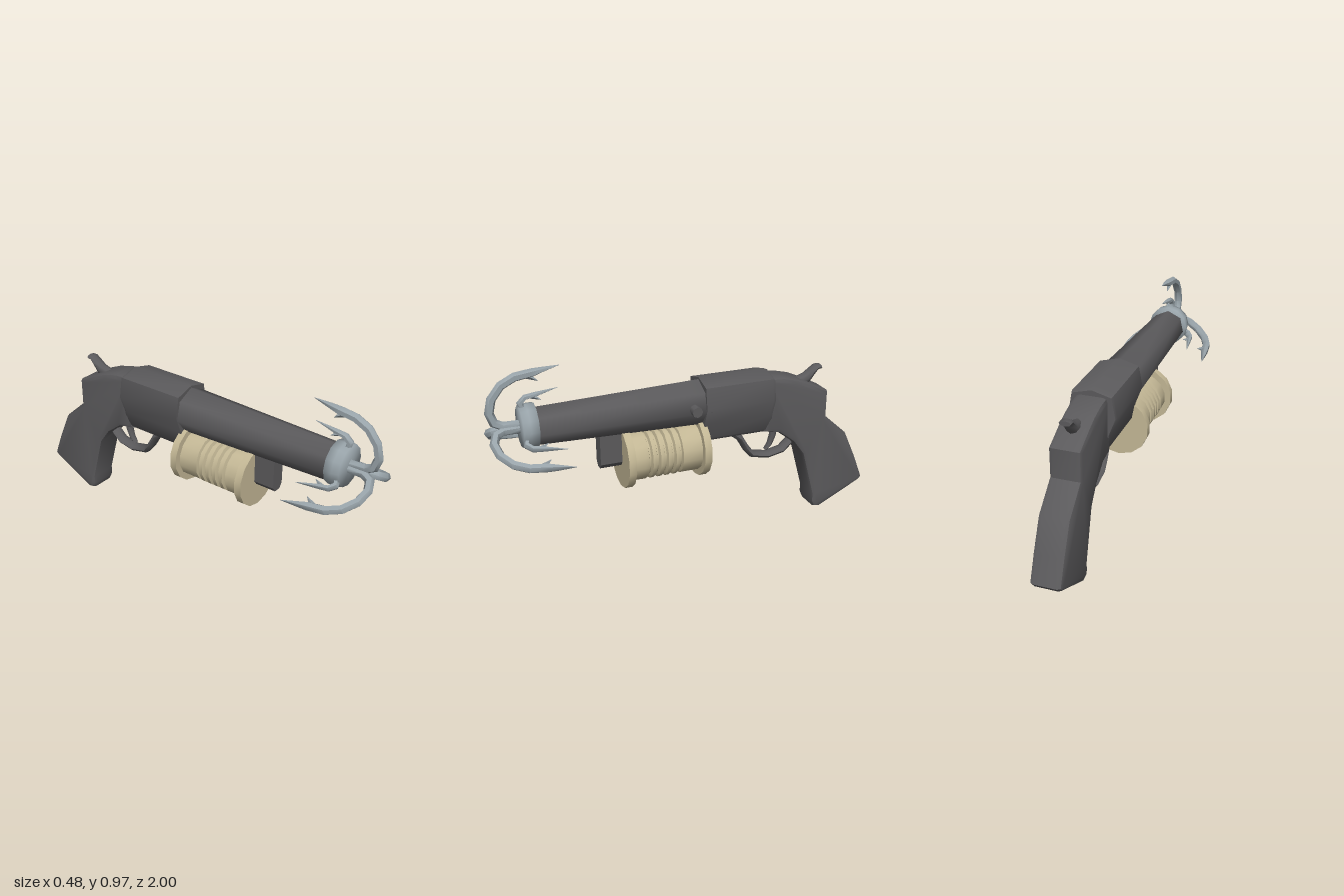
import * as THREE from 'three';
import { toCreasedNormals } from 'three/addons/utils/BufferGeometryUtils.js';

const mat = (name, color) => Object.assign(new THREE.MeshStandardMaterial({ color }), { name });

// Skin a list of closed cross-sections, cap both ends and face outward.
function loft(rings, crease = 1.05) {
  const n = rings[0].length, pos = [], idx = [];
  rings.forEach(r => r.forEach(p => pos.push(...p)));
  for (let i = 0; i < rings.length - 1; i++)
    for (let j = 0; j < n; j++) {
      const a = i * n + j, b = i * n + (j + 1) % n;
      idx.push(a, b, b + n, a, b + n, a + n);
    }
  [0, rings.length - 1].forEach((k, end) => {
    const c = [0, 1, 2].map(d => rings[k].reduce((s, p) => s + p[d], 0) / n);
    const ci = pos.push(...c) / 3 - 1;
    for (let j = 0; j < n; j++) {
      const a = k * n + j, b = k * n + (j + 1) % n;
      idx.push(...(end ? [ci, a, b] : [ci, b, a]));
    }
  });
  const v = i => new THREE.Vector3().fromArray(pos, i * 3);
  let volume = 0;
  for (let i = 0; i < idx.length; i += 3) volume += v(idx[i]).dot(v(idx[i + 1]).cross(v(idx[i + 2])));
  if (volume < 0) idx.reverse();
  const g = new THREE.BufferGeometry();
  g.setAttribute('position', new THREE.Float32BufferAttribute(pos, 3));
  g.setIndex(idx);
  return toCreasedNormals(g, crease);
}

// Sweep a polygon along a path in the side plane; points are [z, y, halfWidth, halfThickness].
function sweep(path, sides = 6) {
  return loft(path.map(([z, y, w, h], i) => {
    const p = path[Math.max(i - 1, 0)], q = path[Math.min(i + 1, path.length - 1)];
    const len = Math.hypot(q[0] - p[0], q[1] - p[1]);
    const nz = -(q[1] - p[1]) / len, ny = (q[0] - p[0]) / len;
    return Array.from({ length: sides }, (_, j) => {
      const a = j / sides * Math.PI * 2, o = Math.cos(a) * h;
      return [Math.sin(a) * w, y + ny * o, z + nz * o];
    });
  }));
}

// Regular polygon section facing along z, with a corner at the top.
const polygon = (sides, r, cy, z) => Array.from({ length: sides }, (_, j) => {
  const a = j / sides * Math.PI * 2;
  return [Math.sin(a) * r, cy + Math.cos(a) * r, z];
});

// Lathe around the z axis; points are [radius, z].
function latheZ(points, sides, crease = 0.7) {
  const g = new THREE.LatheGeometry(points.map(p => new THREE.Vector2(...p)), sides);
  return toCreasedNormals(g.rotateX(Math.PI / 2), crease);
}

export function createModel() {
  const root = new THREE.Group();
  root.name = 'grapplePistol';
  const gunmetal = mat('gunmetal', 0x5b5a5c);
  const steel = mat('steel', 0x98a3a9);
  const cream = mat('creamSpool', 0xc3b795);
  const add = (name, geometry, material, parent = root) => {
    const m = new THREE.Mesh(geometry, material);
    m.name = name;
    parent.add(m);
    return m;
  };

  // Tapered barrel
  add('barrel', loft([polygon(7, 0.116, 0.699, -0.08), polygon(7, 0.092, 0.695, 0.79)]), gunmetal);

  // Receiver: wide rounded top over a narrow lower frame
  const half = [[0.1, 0.797], [0.119, 0.69], [0.085, 0.6], [0.07, 0.52], [0.05, 0.5]];
  const outline = [[0, 0.824], ...half, ...half.map(([x, y]) => [-x, y]).reverse()];
  const section = (z, s) => outline.map(([x, y]) => [x * s, 0.66 + (y - 0.66) * s, z]);
  add('receiver', loft([section(-0.425, 0.96), section(-0.41, 1), section(-0.05, 1)]), gunmetal);

  // Grip with softened edges
  const gripShape = new THREE.Shape([
    [-0.39, 0.79], [-0.49, 0.785], [-0.57, 0.765], [-0.64, 0.735], [-0.75, 0.68], [-0.75, 0.535],
    [-0.88, 0.42], [-0.95, 0.27], [-1, 0.145], [-0.985, 0.125], [-0.74, 0.005], [-0.705, 0.012],
    [-0.69, 0.045], [-0.69, 0.09], [-0.62, 0.34], [-0.56, 0.42], [-0.475, 0.485], [-0.39, 0.5],
  ].map(p => new THREE.Vector2(...p)));
  const bevel = 0.022;
  const grip = new THREE.ExtrudeGeometry(gripShape, {
    depth: 0.154 - 2 * bevel, bevelSize: bevel, bevelThickness: bevel, bevelOffset: -bevel, bevelSegments: 2,
  });
  grip.translate(0, 0, -(0.154 - 2 * bevel) / 2).rotateY(-Math.PI / 2);
  add('grip', toCreasedNormals(grip, 0.6), gunmetal);

  // Trigger guard, trigger and hammer
  add('triggerGuard', sweep([
    [-0.21, 0.52], [-0.28, 0.465], [-0.315, 0.405], [-0.35, 0.362], [-0.44, 0.343], [-0.525, 0.36],
    [-0.58, 0.41], [-0.61, 0.44],
  ].map(p => [...p, 0.033, 0.018]), 8), gunmetal);
  add('trigger', sweep([
    [-0.475, 0.52, 0.022, 0.022], [-0.472, 0.45, 0.02, 0.018], [-0.455, 0.4, 0.018, 0.013],
    [-0.43, 0.372, 0.014, 0.007],
  ], 8), gunmetal);
  add('hammer', sweep([
    [-0.59, 0.72, 0.03, 0.035], [-0.655, 0.745, 0.03, 0.03], [-0.685, 0.775, 0.03, 0.02],
    [-0.71, 0.797, 0.03, 0.014], [-0.732, 0.797, 0.028, 0.012],
  ], 8), gunmetal);

  // Side knob
  const knob = add('sideKnob', new THREE.CylinderGeometry(0.027, 0.027, 0.06, 8), gunmetal);
  knob.rotation.z = Math.PI / 2;
  knob.position.set(0.112, 0.697, 0.01);

  // Rope spool: flanges at both ends and grooved rings between
  const spool = [[0, -0.065], [0.155, -0.065], [0.155, -0.028], [0.123, -0.028], [0.123, 0.075]];
  for (let i = 0; i < 5; i++) {
    const z = 0.075 + i * 0.04;
    spool.push([0.108, z + 0.004], [0.108, z + 0.012], [0.125, z + 0.018], [0.125, z + 0.038]);
  }
  spool.push([0.123, 0.328], [0.155, 0.328], [0.155, 0.365], [0, 0.365]);
  add('ropeSpool', latheZ(spool, 14), cream).position.y = 0.463;

  // Bracket in front of the spool
  const bracket = new THREE.ExtrudeGeometry(new THREE.Shape([
    [0.037, 0.64], [-0.037, 0.64], [-0.037, 0.452], [-0.018, 0.428], [0.018, 0.428], [0.037, 0.452],
  ].map(p => new THREE.Vector2(...p))), { depth: 0.112, bevelEnabled: false });
  add('spoolBracket', bracket.translate(0, 0, 0.362), gunmetal);

  // Grapple head: muzzle collar and three barbed hooks
  const grapple = new THREE.Group();
  grapple.name = 'grapple';
  grapple.position.y = 0.7;
  root.add(grapple);
  add('muzzleCollar', latheZ([[0, 0.77], [0.107, 0.77], [0.107, 0.81], [0.1, 0.843], [0, 0.848]], 12, 1.6), steel, grapple);

  const hook = sweep([
    [0.83, 0.012, 0.022, 0.022], [0.92, 0.014, 0.022, 0.022], [0.96, 0.035, 0.022, 0.022],
    [0.977, 0.085, 0.022, 0.022], [0.962, 0.15, 0.022, 0.022], [0.915, 0.21, 0.022, 0.022],
    [0.85, 0.243, 0.022, 0.022], [0.77, 0.254, 0.022, 0.021], [0.72, 0.263, 0.016, 0.013],
    [0.64, 0.275, 0.001, 0.001],
  ]);
  const barb = sweep([[0.82, 0.25, 0.014, 0.012], [0.78, 0.237, 0.013, 0.014], [0.745, 0.212, 0.001, 0.001]], 4);
  const prong = sweep([
    [0.825, 0.085, 0.02, 0.016], [0.835, 0.115, 0.02, 0.016], [0.81, 0.14, 0.018, 0.014],
    [0.76, 0.148, 0.014, 0.012], [0.655, 0.168, 0.001, 0.001],
  ]);
  const prongBarb = sweep([[0.79, 0.142, 0.01, 0.01], [0.765, 0.135, 0.009, 0.01], [0.735, 0.118, 0.001, 0.001]], 4);
  for (let i = 0; i < 3; i++) {
    const arm = new THREE.Group();
    arm.name = `grappleArm${i + 1}`;
    arm.rotation.z = i * Math.PI * 2 / 3;
    grapple.add(arm);
    add('hook', hook, steel, arm);
    add('hookBarb', barb, steel, arm);
    add('innerProng', prong, steel, arm);
    add('prongBarb', prongBarb, steel, arm);
  }
  return root;
}
